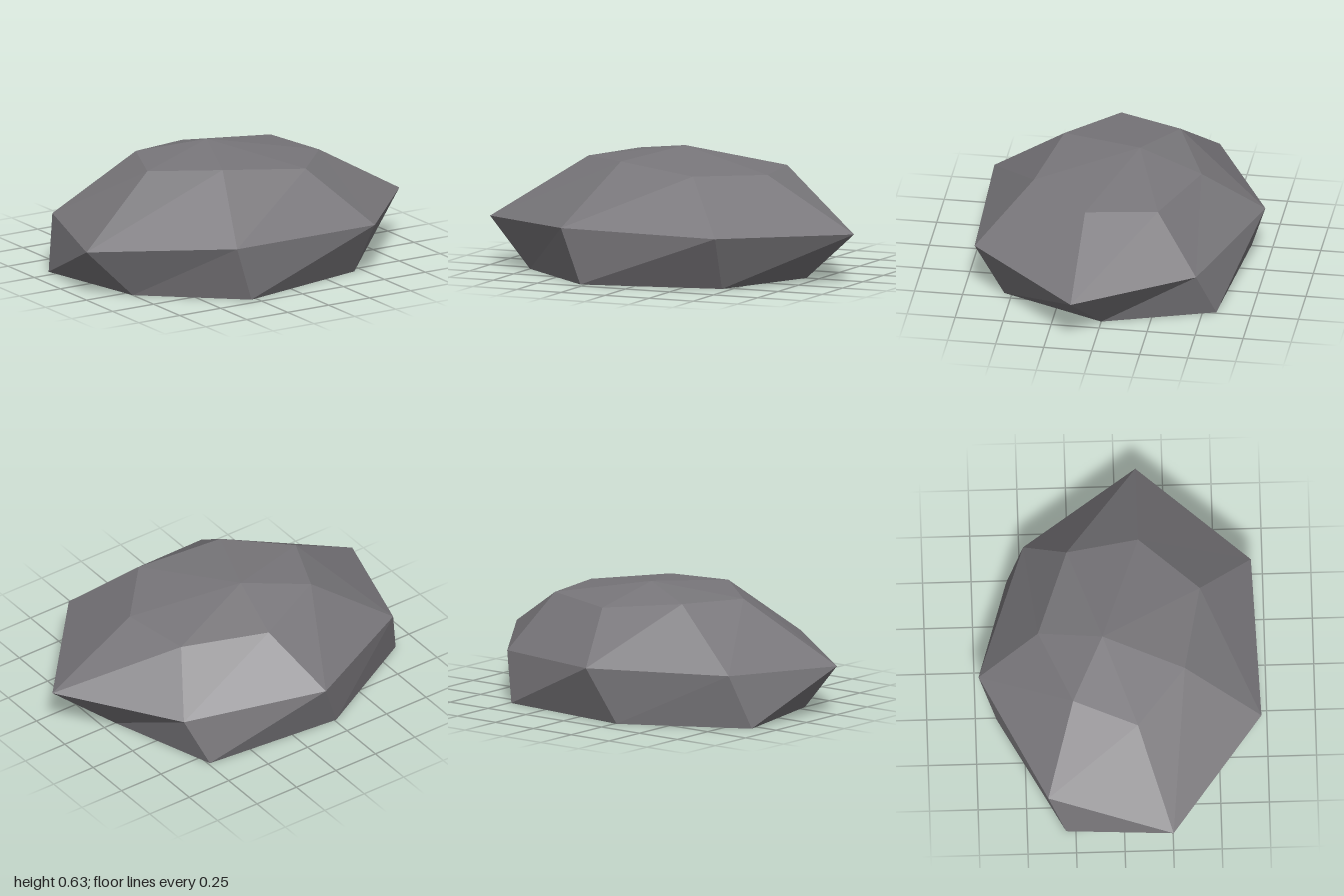
import * as THREE from 'three';

// Rings run anticlockwise seen from above, starting at the left-hand tip of the rock
const base = [[-0.88, 0, -0.3], [-0.75, 0, 0.3], [-0.28, 0, 0.7], [0.45, 0, 0.54], [0.68, 0, 0], [0.49, 0, -0.57], [-0.26, 0, -0.64]];
const girdle = [[-1, 0.255, 0.25], [-0.38, 0.29, 0.72], [0.48, 0.28, 0.69], [1, 0.26, 0.11], [0.59, 0.25, -0.48], [-0.13, 0.29, -0.73], [-0.8, 0.28, -0.39]];
const crown = [[-0.52, 0.575, 0.08], [-0.22, 0.595, 0.33], [0.23, 0.555, 0.42], [0.51, 0.54, 0.11], [0.45, 0.54, -0.26], [0.01, 0.54, -0.42], [-0.38, 0.582, -0.25]];
const peak = [-0.05, 0.635, -0.09];

export function createModel() {
  const group = new THREE.Group();
  group.name = 'rock';
  const stone = new THREE.MeshStandardMaterial({ color: 0x78767a, flatShading: true });
  stone.name = 'grey stone';

  const tris = [];
  const n = girdle.length;
  for (let i = 0; i < n; i++) {
    const j = (i + 1) % n;
    // Cap around the peak
    tris.push(crown[i], crown[j], peak);
    // Sloping shoulder
    tris.push(girdle[i], crown[j], crown[i], girdle[i], girdle[j], crown[j]);
    // Undercut side
    tris.push(girdle[i], base[i], base[j], girdle[i], base[j], girdle[j]);
    // Flat underside
    if (i > 0 && j > 0) tris.push(base[0], base[j], base[i]);
  }

  const geometry = new THREE.BufferGeometry();
  geometry.setAttribute('position', new THREE.Float32BufferAttribute(tris.flat(), 3));
  geometry.computeVertexNormals();
  const boulder = new THREE.Mesh(geometry, stone);
  boulder.name = 'boulder';
  group.add(boulder);
  return group;
}
